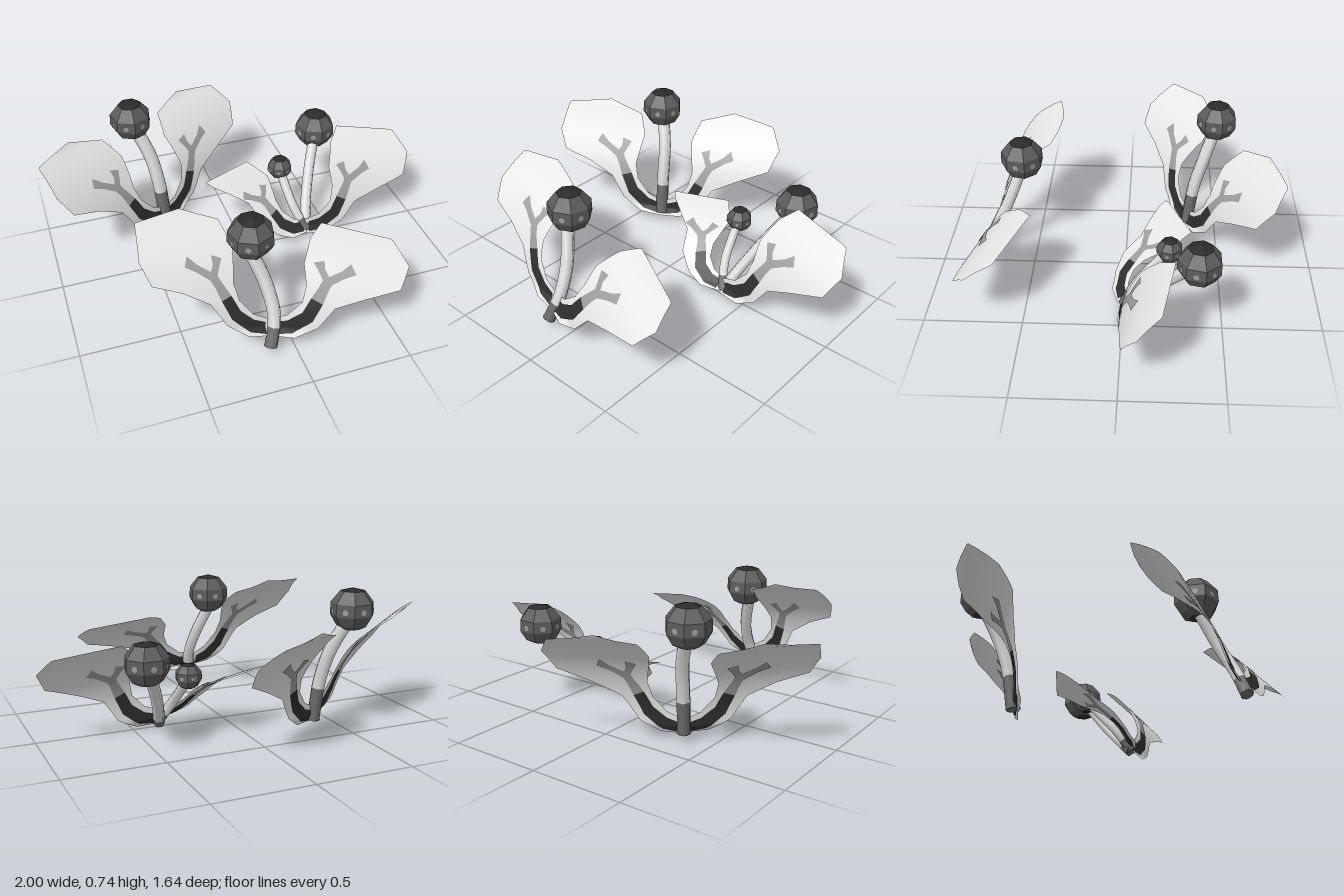
import * as THREE from 'three';

const mat = (name, color, side = THREE.DoubleSide) => {
  const m = new THREE.MeshStandardMaterial({ color, side });
  m.name = name;
  return m;
};

export function createModel() {
  const root = new THREE.Group();
  root.name = 'sprouts';
  const leafLight = mat('pale leaf', 0xe6e6e6);
  const markGrey = mat('mid grey mark', 0x9c9c9c);
  const streakDark = mat('dark streak', 0x2e2e2e);
  const stemLight = mat('pale stem', 0xdedede);
  const stemDark = mat('stem foot', 0x6e6e6e);
  const ballGrey = mat('bud grey', 0x5c5c5c);
  ballGrey.flatShading = true;
  const capDark = mat('bud cap', 0x2b2b2b);
  capDark.flatShading = true;

  const add = (parent, name, geo, material) => {
    const m = new THREE.Mesh(geo, material);
    m.name = name;
    parent.add(m);
    return m;
  };

  // Leaf outlines as pairs of edge points [outer a, b, inner a, b] from stalk to tip
  const stalk = [[0, -.045, 0, .03], [.11, -.04, .08, .06], [.215, .02, .145, .125]];
  const outlines = {
    round: [...stalk, [.29, .12, .165, .2], [.42, .18, .135, .36], [.59, .25, .17, .47],
      [.635, .365, .35, .525], [.58, .474, .57, .48]],
    blunt: [...stalk, [.29, .12, .165, .2], [.42, .18, .135, .36], [.56, .22, .17, .47],
      [.6, .32, .35, .525], [.578, .474, .57, .48]],
    cut: [...stalk, [.29, .12, .165, .2], [.42, .18, .16, .3], [.585, .25, .2, .42],
      [.635, .365, .26, .5], [.58, .474, .57, .48]],
    narrow: [...stalk, [.31, .12, .17, .2], [.36, .25, .17, .36], [.55, .43, .26, .5],
      [.58, .472, .57, .48]],
  };
  const streakPairs = [
    [.02, -.035, .02, .018], [.1, -.02, .08, .035], [.19, .045, .145, .08], [.235, .13, .185, .15],
  ];
  // Forked mark at the end of the streak
  const forkPairs = [
    [[.235, .13, .185, .15], [.26, .19, .22, .205], [.285, .235, .245, .25]],
    [[.278, .222, .26, .252], [.34, .262, .328, .292], [.39, .285, .37, .33]],
    [[.278, .24, .242, .23], [.252, .285, .222, .275], [.252, .325, .203, .31]],
  ];

  // Sheet between edge pairs, placed with the axes U, V and bulged along the normal
  function sheet(pairs, U, V, bulge, offset) {
    const N = new THREE.Vector3().crossVectors(U, V).normalize();
    if (N.z < 0) N.negate();
    const along = 4, across = 8, rows = (pairs.length - 1) * along;
    const pos = [], index = [];
    for (let i = 0; i <= rows; i++) {
      const k = Math.min(Math.floor(i / along), pairs.length - 2), f = i / along - k;
      const p = pairs[k].map((v, n) => v + (pairs[k + 1][n] - v) * f);
      for (let j = 0; j <= across; j++) {
        const s = j / across;
        const a = p[0] + (p[2] - p[0]) * s, b = p[1] + (p[3] - p[1]) * s;
        const t = THREE.MathUtils.clamp(b / .5, 0, 1);
        const v = new THREE.Vector3().addScaledVector(U, a).addScaledVector(V, b)
          .addScaledVector(N, bulge * 4 * t * (1 - t) + offset);
        pos.push(v.x, v.y, v.z);
        if (i < rows && j < across) {
          const q = i * (across + 1) + j, r = q + across + 1;
          index.push(q, r, q + 1, q + 1, r, r + 1);
        }
      }
    }
    const g = new THREE.BufferGeometry();
    g.setAttribute('position', new THREE.Float32BufferAttribute(pos, 3));
    g.setIndex(index);
    g.computeVertexNormals();
    return g;
  }

  function leaf(parent, name, base, shape, u, v, bulge = .075) {
    const g = new THREE.Group();
    g.name = name;
    g.position.set(...base);
    const U = new THREE.Vector3(...u), V = new THREE.Vector3(...v);
    add(g, 'leafBlade', sheet(outlines[shape], U, V, bulge, 0), leafLight);
    for (const off of [-.004, .004]) {
      add(g, 'leafStreak', sheet(streakPairs, U, V, bulge, off), streakDark);
      forkPairs.forEach(p => add(g, 'leafFork', sheet(p, U, V, bulge, off), markGrey));
    }
    parent.add(g);
  }

  // Curved six-sided stem whose lowest segments are dark
  function stem(parent, points, radius, footSegments) {
    const segs = 10, sides = 6;
    const curve = new THREE.CatmullRomCurve3(points.map(p => new THREE.Vector3(...p)));
    const g = new THREE.TubeGeometry(curve, segs, radius, sides);
    const cut = footSegments * sides * 6;
    g.addGroup(0, cut, 0);
    g.addGroup(cut, segs * sides * 6 - cut, 1);
    add(parent, 'stem', g, [stemDark, stemLight]);
    const end = add(parent, 'stemEnd', new THREE.CircleGeometry(radius, sides), stemDark);
    end.position.copy(curve.getPoint(0));
    end.lookAt(end.position.clone().sub(curve.getTangent(0)));
  }

  // Faceted bud with dark caps and a small spot on each side face
  function bud(parent, center, r) {
    const g = new THREE.Group();
    const sides = 7;
    g.name = 'bud';
    g.position.set(...center);
    const lathe = pts => new THREE.LatheGeometry(pts.map(p => new THREE.Vector2(p[0] * r, p[1] * r)), sides);
    add(g, 'budBody', lathe([[.38, -.9], [.72, -.72], [1, -.25], [.98, .3], [.56, .83]]), ballGrey);
    add(g, 'budTop', lathe([[.56, .83], [0, .97]]), capDark);
    add(g, 'budBottom', lathe([[0, -.97], [.38, -.9]]), capDark);
    for (let i = 0; i < sides; i++) {
      const a = (i + .5) * 2 * Math.PI / sides, d = r * Math.cos(Math.PI / sides) + .003;
      const spot = add(g, 'budSpot', new THREE.CircleGeometry(r * .14, 6), markGrey);
      spot.position.set(Math.sin(a) * d, -.03 * r, Math.cos(a) * d);
      spot.rotation.y = a;
    }
    parent.add(g);
  }

  const sprouts = [
    {
      name: 'backSprout', base: [-.36, .08, -.34],
      leaves: [['round', [.914, 0, -.457], [-.225, 1, -.475]], ['blunt', [-.877, .12, .593], [-.31, .925, -.55]]],
      stems: [{ pts: [[-.36, .05, -.34], [-.375, .27, -.37], [-.405, .44, -.42], [-.47, .6, -.48]], r: .036, foot: 3, ball: [-.48, .642, -.485], size: .11 }],
    },
    {
      name: 'frontSprout', base: [-.12, .14, .72],
      leaves: [['cut', [1.01, -.2, .39], [.184, .784, -.71]], ['blunt', [-.95, .13, -.03], [.02, .9, -.67]]],
      stems: [{ pts: [[-.125, .045, .765], [-.09, .17, .715], [-.105, .32, .64], [-.165, .5, .565]], r: .034, foot: 2, ball: [-.155, .575, .553], size: .113 }],
    },
    {
      name: 'rightSprout', base: [.36, .06, -.01],
      leaves: [['cut', [1, -.12, .12], [.01, .97, -.55]], ['narrow', [-.87, .04, .33], [-.01, .5, -.84], .04]],
      stems: [
        { pts: [[.36, .025, -.005], [.41, .16, -.13], [.465, .285, -.235], [.535, .42, -.345]], r: .03, foot: 1, ball: [.545, .447, -.37], size: .11 },
        { pts: [[.365, .03, 0], [.315, .15, -.08], [.295, .24, -.16], [.285, .31, -.22]], r: .026, foot: 2, ball: [.285, .325, -.232], size: .067 },
      ],
    },
  ];
  for (const s of sprouts) {
    const g = new THREE.Group();
    g.name = s.name;
    s.leaves.forEach(([shape, u, v, bulge], i) => leaf(g, i ? 'rightLeaf' : 'leftLeaf', s.base, shape, u, v, bulge));
    s.stems.forEach(t => {
      stem(g, t.pts, t.r, t.foot);
      bud(g, t.ball, t.size);
    });
    root.add(g);
  }
  return root;
}
